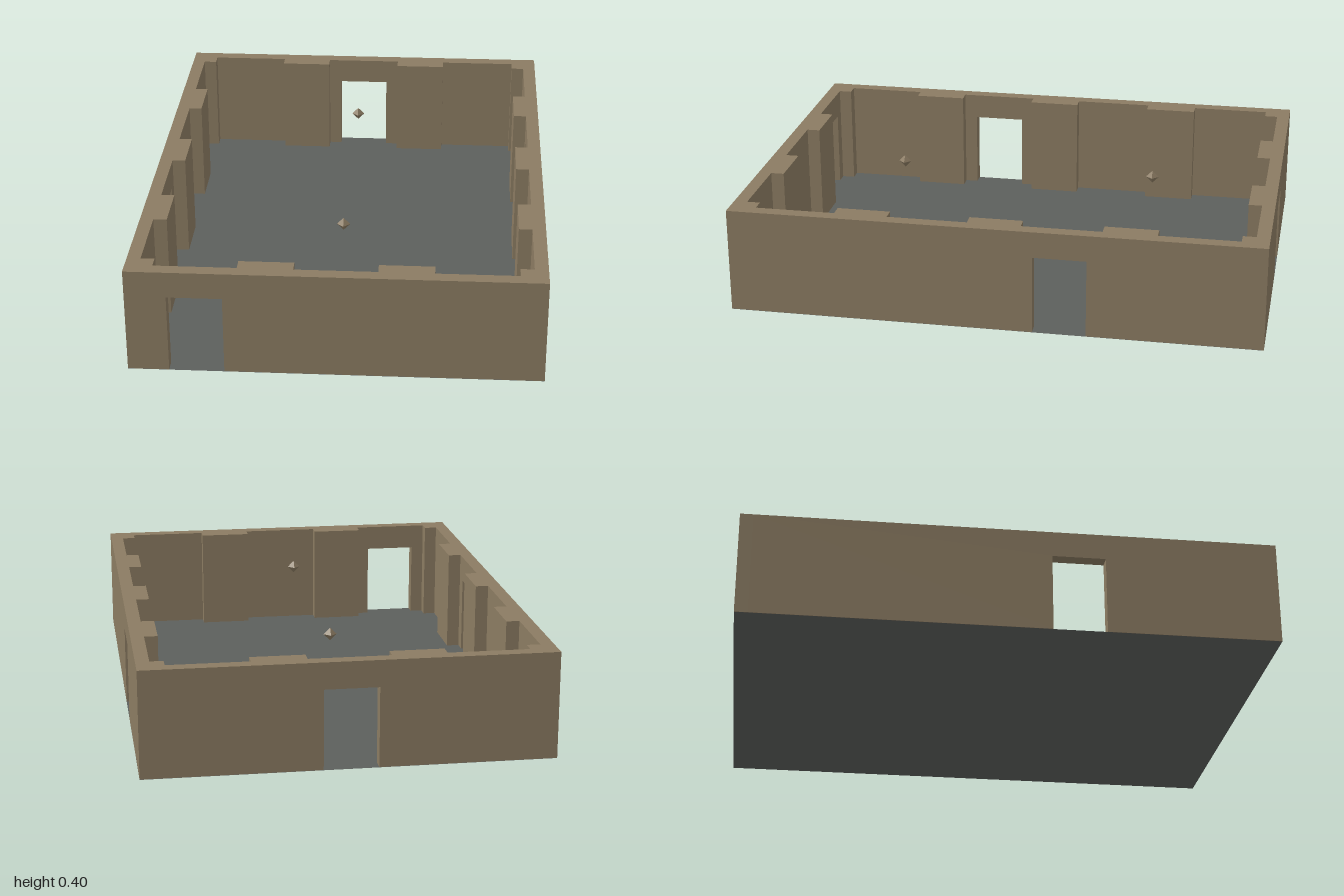
import * as THREE from 'three';

const W = 1.5, L = 2, H = 0.4, T = 0.05;      // outer size and wall thickness
const DOOR_W = 0.2, DOOR_H = 0.3, BASE = 0.001; // walls rest just above the floor sheet

export function createModel() {
  const stone = new THREE.MeshStandardMaterial({ color: 0x8b7b62 });
  stone.name = 'sandstone';
  const slate = new THREE.MeshStandardMaterial({ color: 0x5c5f5c, side: THREE.DoubleSide });
  slate.name = 'slateFloor';

  const model = new THREE.Group();
  model.name = 'openHall';

  // Wall panel with a doorway notch centred at u = door, outer face towards local +z
  function addWall(name, length, door, distance, turn) {
    const h = length / 2, a = door - DOOR_W / 2, b = door + DOOR_W / 2;
    const outline = [[-h, BASE], [a, BASE], [a, DOOR_H], [b, DOOR_H], [b, BASE], [h, BASE], [h, H], [-h, H]];
    const shape = new THREE.Shape(outline.map(([x, y]) => new THREE.Vector2(x, y)));
    const geometry = new THREE.ExtrudeGeometry(shape, { depth: T, bevelEnabled: false });
    geometry.translate(0, 0, distance - T);
    geometry.rotateY(turn);
    const wall = new THREE.Mesh(geometry, stone);
    wall.name = name;
    model.add(wall);
  }
  addWall('frontWall', W, -0.5, L / 2, 0);
  addWall('backWall', W, 0, L / 2, Math.PI);
  addWall('leftWall', L - 2 * T, 0.25, W / 2, Math.PI / 2);
  addWall('rightWall', L - 2 * T, 0.25, W / 2, -Math.PI / 2);

  // Full-height pilasters and corner posts against the inside of the walls
  function addPost(name, sx, sz, x, z) {
    const post = new THREE.Mesh(new THREE.BoxGeometry(sx, H - BASE, sz), stone);
    post.position.set(x, (H + BASE) / 2, z);
    post.name = name;
    model.add(post);
  }
  const px = W / 2 - 1.5 * T, pz = L / 2 - 1.5 * T;
  for (const s of [-1, 1]) {
    for (const z of [-0.5, 0, 0.5]) addPost('sidePilaster', T, 0.2, s * px, z);
    for (const x of [-0.25, 0.25]) addPost('endPilaster', 0.2, T, x, s * pz);
    for (const t of [-1, 1]) addPost('cornerPost', T, T, s * px, t * pz);
  }

  // Floor sheet under the whole hall
  const floor = new THREE.Mesh(new THREE.PlaneGeometry(W, L), slate);
  floor.rotation.x = -Math.PI / 2;
  floor.name = 'floor';
  model.add(floor);

  // Small faceted lamps hanging along the middle
  for (const z of [-0.5, 0.5]) {
    const lamp = new THREE.Mesh(new THREE.OctahedronGeometry(0.025), stone);
    lamp.position.set(0, 0.35, z);
    lamp.name = 'lamp';
    model.add(lamp);
  }
  return model;
}
